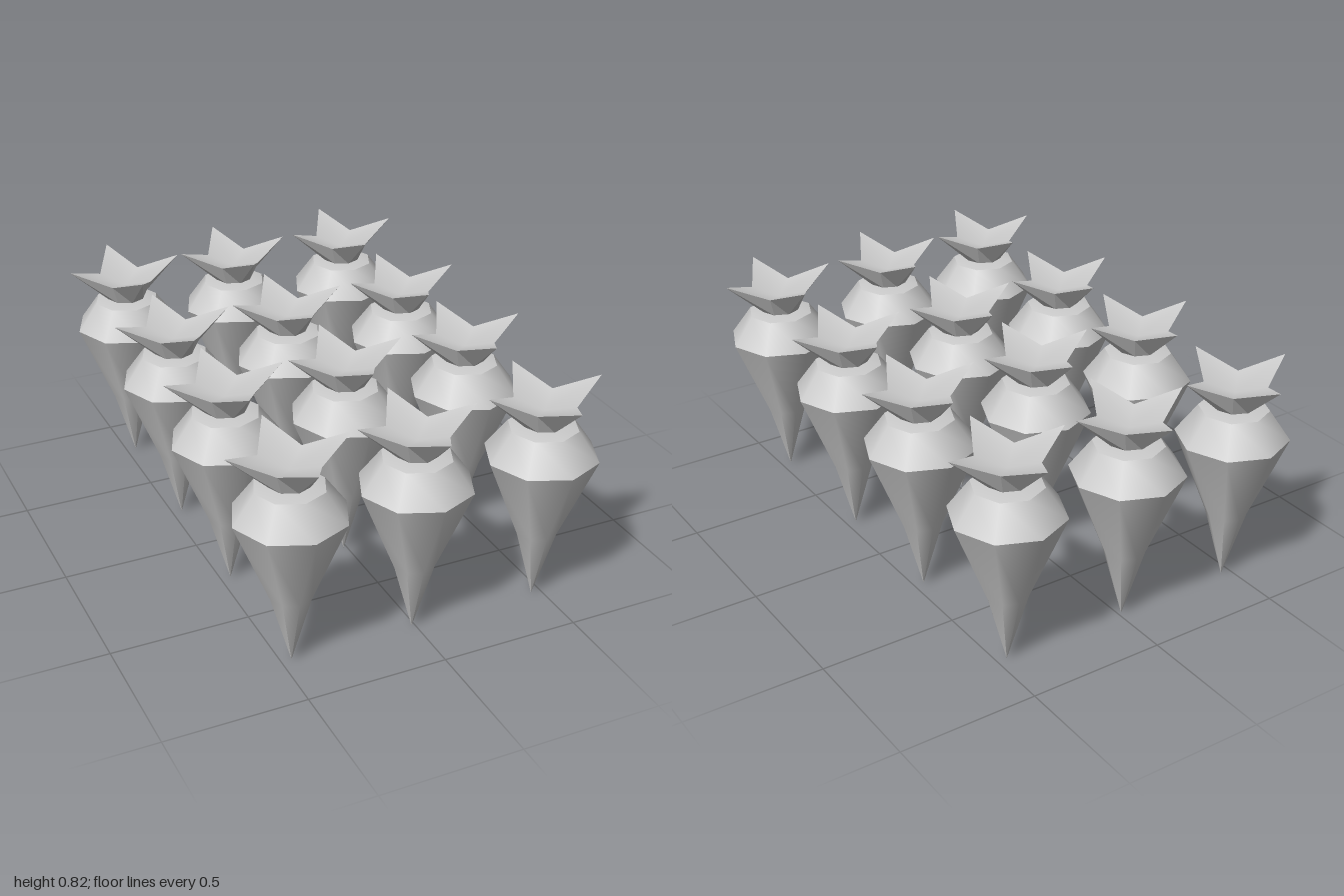
import * as THREE from 'three';
import { mergeVertices } from 'three/addons/utils/BufferGeometryUtils.js';

const SIDES = 8;
const material = new THREE.MeshStandardMaterial({ color: 0xcccccc, side: THREE.DoubleSide });
const flatMaterial = material.clone();
flatMaterial.flatShading = true;

const lathe = (profile) =>
  new THREE.LatheGeometry(profile.map(([r, y]) => new THREE.Vector2(r, y)), SIDES);

// Pulls every second rim point in and down, turning the round rim into a four-pointed star
const TIP = [0.217, 0.817];
const VALLEY = [0.108, 0.76];
function starRim(geometry) {
  const p = geometry.attributes.position;
  for (let i = 0; i < p.count; i++) {
    const x = p.getX(i), z = p.getZ(i);
    const onDiagonal = Math.abs(x) > 0.1 && Math.abs(z) > 0.1;
    if (onDiagonal) {
      const s = VALLEY[0] / TIP[0];
      p.setXYZ(i, x * s, VALLEY[1], z * s);
    }
  }
  geometry.deleteAttribute('uv');
  geometry.deleteAttribute('normal');
  const merged = mergeVertices(geometry);
  merged.computeVertexNormals();
  return merged;
}

const parts = {
  // Tapering root, smooth around its eight sides
  root: [lathe([[0, 0], [0.073, 0.26], [0.198, 0.567]]), material],
  // Sloping shoulder with a hard edge below it
  shoulder: [lathe([[0.198, 0.567], [0.122, 0.672]]), material],
  // Shallow cap closing the root
  cap: [lathe([[0.122, 0.672], [0.075, 0.682], [0, 0.684]]), material],
  // Star-shaped leaf crown: outer walls and dished top
  leafUnderside: [starRim(lathe([[0.07, 0.68], TIP])), flatMaterial],
  leafTop: [starRim(lathe([TIP, [0, 0.73]])), material],
};

function makeRootVegetable() {
  const group = new THREE.Group();
  group.name = 'rootVegetable';
  for (const [name, [geometry, mat]] of Object.entries(parts)) {
    const mesh = new THREE.Mesh(geometry, mat);
    mesh.name = name;
    group.add(mesh);
  }
  return group;
}

export function createModel() {
  const model = new THREE.Group();
  model.name = 'vegetablePatch';
  // Three columns by four rows
  for (const x of [-0.463, -0.013, 0.463]) {
    for (const z of [-0.783, -0.25, 0.245, 0.783]) {
      const vegetable = makeRootVegetable();
      vegetable.position.set(x, 0, z);
      model.add(vegetable);
    }
  }
  return model;
}
